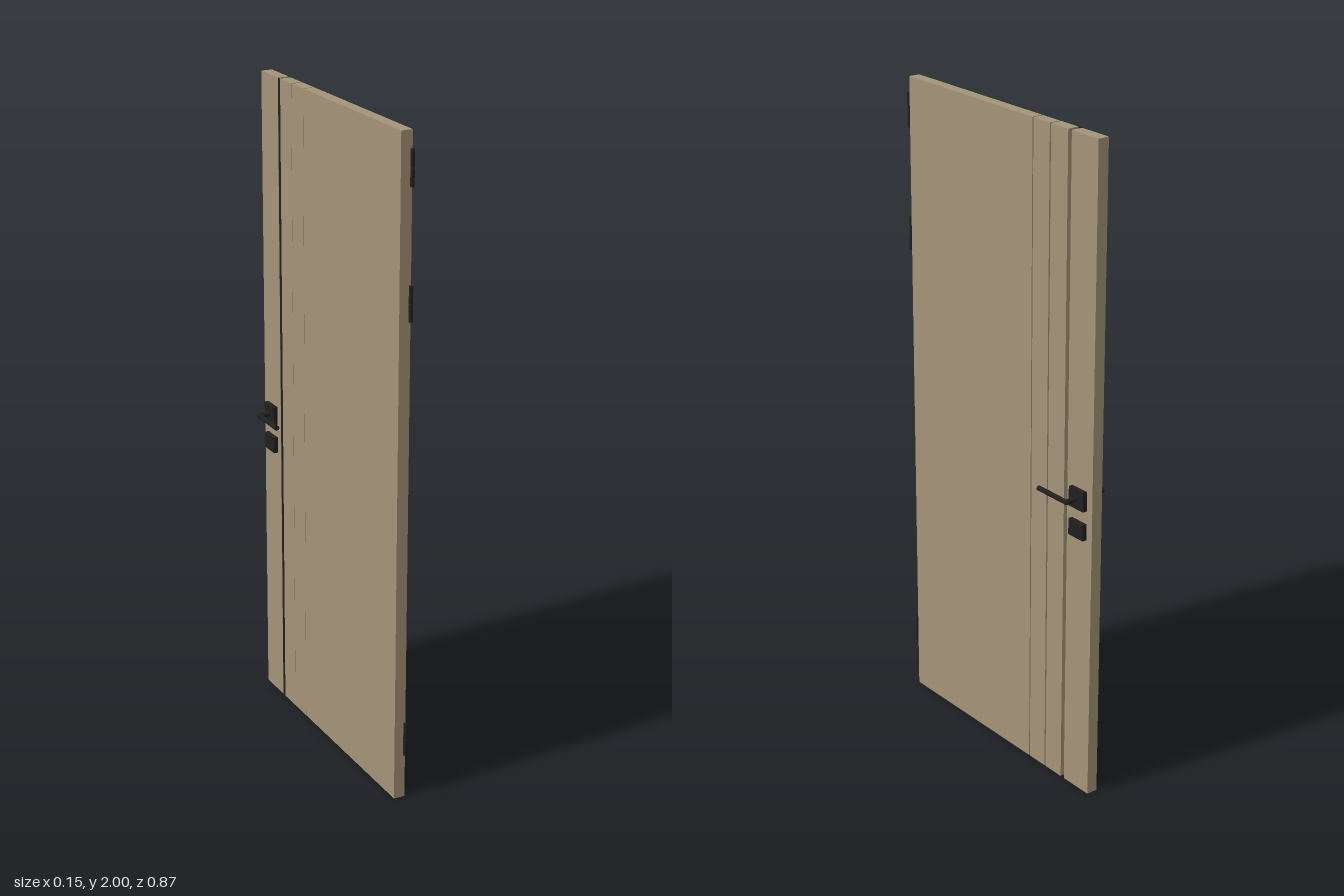
import * as THREE from 'three';

export function createModel() {
  const door = new THREE.Group();
  door.name = 'door';
  const wood = new THREE.MeshStandardMaterial({ color: 0xa59478, side: THREE.DoubleSide });
  wood.name = 'tan wood';
  const black = new THREE.MeshStandardMaterial({ color: 0x202020, side: THREE.DoubleSide });
  black.name = 'black metal';

  const add = (name, geometry, material, parent = door) => {
    const mesh = new THREE.Mesh(geometry, material);
    mesh.name = name;
    parent.add(mesh);
    return mesh;
  };
  // Box given by its low and high corners
  const box = (name, [x0, y0, z0], [x1, y1, z1], material, parent) =>
    add(name, new THREE.BoxGeometry(x1 - x0, y1 - y0, z1 - z0)
      .translate((x0 + x1) / 2, (y0 + y1) / 2, (z0 + z1) / 2), material, parent);

  // Leaf: four full-height boards separated by grooves
  const xBack = -0.018, xFace = 0.017;
  const boards = [[-0.436, -0.325], [-0.31, -0.237], [-0.232, -0.161], [-0.157, 0.418]];
  for (const [z0, z1] of boards) box('leafBoard', [xBack, 0, z0], [xFace, 2, z1], wood);

  // Groove floors: the wide one is a black inlay, the narrow ones are wood
  for (let i = 0; i < 3; i++) {
    const z0 = boards[i][1], z1 = boards[i + 1][0];
    const floor = add(i === 0 ? 'blackInlay' : 'grooveFloor',
      new THREE.PlaneGeometry(z1 - z0, 2), i === 0 ? black : wood);
    floor.rotation.y = -Math.PI / 2;
    floor.position.set(xBack + 0.0005, 1, (z0 + z1) / 2);
  }

  // Hinges: two knuckles each on the +z edge
  for (const y of [1.898, 1.521, 0.193]) {
    for (const s of [-1, 1]) {
      add('hingeKnuckle', new THREE.CylinderGeometry(0.006, 0.006, 0.05, 16), black)
        .position.set(0.013, y + s * 0.0265, 0.426);
    }
    add('hingePin', new THREE.CylinderGeometry(0.004, 0.004, 0.1, 12), black)
      .position.set(0.013, y, 0.426);
  }

  // Lever sets, one on each face
  for (const s of [1, -1]) {
    const set = new THREE.Group();
    set.name = s > 0 ? 'leftLeverSet' : 'rightLeverSet';
    door.add(set);
    const side = (a, b) => (s > 0 ? [a, b] : [-b, -a]);
    const [r0, r1] = side(0.017, 0.031);
    box('leverRosette', [r0, 0.915, -0.412], [r1, 0.975, -0.348], black, set);
    box('lockRosette', [r0, 0.825, -0.412], [r1, 0.875, -0.348], black, set);

    const spindle = add('leverNeck', new THREE.CylinderGeometry(0.008, 0.008, 0.036, 16), black, set);
    spindle.rotation.z = Math.PI / 2;
    spindle.position.set(s * 0.047, 0.945, -0.379);
    const elbow = add('leverElbow', new THREE.SphereGeometry(0.008, 16, 12), black, set);
    elbow.position.set(s * 0.065, 0.945, -0.379);
    const grip = add('leverGrip', new THREE.CylinderGeometry(0.0075, 0.0075, 0.125, 16), black, set);
    grip.rotation.x = Math.PI / 2;
    grip.position.set(s * 0.065, 0.945, -0.3165);
  }
  return door;
}
